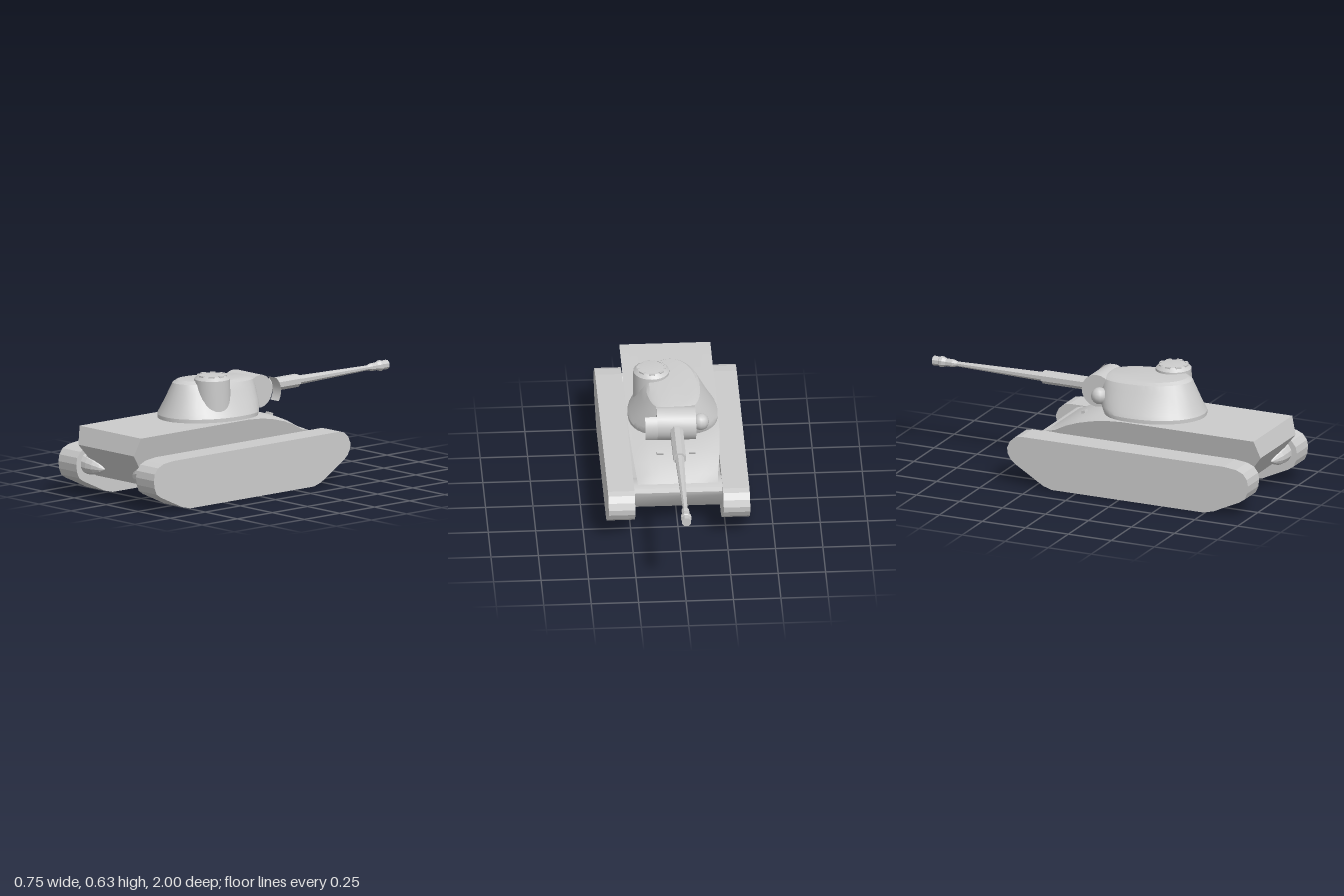
import * as THREE from 'three';
import { toCreasedNormals } from 'three/addons/utils/BufferGeometryUtils.js';

const flat = new THREE.MeshStandardMaterial({ color: 0xcccccc, flatShading: true });
const smooth = new THREE.MeshStandardMaterial({ color: 0xcccccc });
const thin = new THREE.MeshStandardMaterial({ color: 0xcccccc, side: THREE.DoubleSide });

function add(parent, name, geometry, material = flat, x = 0, y = 0, z = 0) {
  const mesh = new THREE.Mesh(geometry, material);
  mesh.name = name;
  mesh.position.set(x, y, z);
  parent.add(mesh);
  return mesh;
}

// Side outline of [z, y] points, extruded across x
function sideExtrude(outline, x0, x1, steps = 1) {
  const shape = new THREE.Shape(outline.map(([z, y]) => new THREE.Vector2(-z, y)));
  const geometry = new THREE.ExtrudeGeometry(shape, { depth: x1 - x0, steps, bevelEnabled: false });
  return geometry.rotateY(Math.PI / 2).translate(x0, 0, 0);
}

// Moves every vertex by a rule
function reshape(geometry, rule) {
  const p = geometry.attributes.position;
  const v = new THREE.Vector3();
  for (let i = 0; i < p.count; i++) {
    rule(v.fromBufferAttribute(p, i));
    p.setXYZ(i, v.x, v.y, v.z);
  }
  geometry.computeVertexNormals();
  return geometry;
}

// Egg-shaped rings stacked upward: [y, half width, front z, back z, roof tilt]
function turretGeometry() {
  const rings = [
    [0.388, 0.2, 0.08, 0.54, 0],
    [0.39, 0.237, 0.03, 0.57, 0],
    [0.41, 0.237, 0.02, 0.57, 0],
    [0.43, 0.226, 0.01, 0.56, 0],
    [0.47, 0.2, 0, 0.543, 0],
    [0.53, 0.167, 0, 0.515, 0.3],
    [0.57, 0.143, 0, 0.495, 0.7],
    [0.582, 0.125, 0.01, 0.47, 1],
    [0.587, 0.09, 0.04, 0.42, 1],
    [0.59, 0, 0.25, 0.25, 1],
  ];
  const n = 36, zc = 0.25, pos = [], idx = [];
  rings.forEach(([y, w, zf, zb, tilt], i) => {
    for (let j = 0; j < n; j++) {
      const t = (j / n) * Math.PI * 2, s = Math.sin(t), c = Math.cos(t);
      const e = c < 0 ? 0.78 : 1;
      const x = w * Math.sign(s) * Math.abs(s) ** e;
      const z = c < 0 ? zc - (zc - zf) * Math.abs(c) ** e : zc + (zb - zc) * c;
      pos.push(x, y + tilt * (0.06 * (z - zc) + 0.03 * x), z);
      if (i < rings.length - 1) {
        const a = i * n + j, b = i * n + ((j + 1) % n);
        idx.push(a, b, a + n, b, b + n, a + n);
      }
    }
  });
  const g = new THREE.BufferGeometry();
  g.setAttribute('position', new THREE.Float32BufferAttribute(pos, 3));
  g.setIndex(idx);
  return toCreasedNormals(g, 0.45);
}

// Turned part pointing along -z, from [radius, distance] points
function turned(profile, sides) {
  const points = profile.map(([r, d]) => new THREE.Vector2(r, d));
  return new THREE.LatheGeometry(points, sides, Math.PI / sides).rotateX(-Math.PI / 2);
}

export function createModel() {
  const model = new THREE.Group();
  model.name = 'tank';

  // Tracks
  const track = [
    [0.74, 0], [0.8, 0.015], [0.95, 0.085], [0.98, 0.105], [0.995, 0.14], [1, 0.18], [0.993, 0.215],
    [0.97, 0.245], [0.93, 0.262], [0.86, 0.27], [-0.32, 0.27], [-0.355, 0.262], [-0.385, 0.235],
    [-0.4, 0.2], [-0.398, 0.17], [-0.38, 0.137], [-0.35, 0.112], [-0.19, 0.015], [-0.14, 0],
  ];
  add(model, 'leftTrack', sideExtrude(track, 0.233, 0.373));
  add(model, 'rightTrack', sideExtrude(track, -0.373, -0.233));

  // Lower hull between the tracks, with the rounded nose
  const lower = [
    [0.86, 0.105], [0.947, 0.22], [-0.1, 0.22], [-0.18, 0.262], [-0.25, 0.265],
    [-0.28, 0.256], [-0.29, 0.235], [-0.285, 0.21], [-0.21, 0.105],
  ];
  add(model, 'lowerHull', toCreasedNormals(sideExtrude(lower, -0.233, 0.233), 0.6), smooth);

  // Upper hull: sides lean outward, glacis arched across its width
  const upper = [
    [0.947, 0.22], [1, 0.29], [0.97, 0.385], [0.2, 0.385], [0.1, 0.384], [0.02, 0.379],
    [-0.06, 0.362], [-0.13, 0.335], [-0.2, 0.298], [-0.25, 0.265], [-0.25, 0.22],
  ];
  const upperHull = reshape(sideExtrude(upper, -1, 1, 10), (v) => {
    const u = v.x;
    if (v.z < 0.15 && v.y > 0.29) v.y -= 0.022 * Math.min(1, (0.15 - v.z) * 6) * u ** 4;
    v.x = u * (0.2 + 0.04 * (v.y - 0.22) / 0.165);
  });
  add(model, 'upperHull', toCreasedNormals(upperHull, 0.5), smooth);

  // Final drive cones at the rear and small periscopes on the glacis
  const drive = [[0.06, 0], [0.056, 0.03], [0.045, 0.065], [0.025, 0.1], [0, 0.125]];
  for (const side of [1, -1]) {
    const prefix = side > 0 ? 'left' : 'right';
    const geo = turned(drive, 12).rotateY(side * Math.PI / 2);
    reshape(geo, (v) => { v.y -= 0.02 * Math.abs(v.x) / 0.125; });
    add(model, prefix + 'FinalDrive', geo, flat, side * 0.233, 0.18, 0.91);
    const scope = add(model, prefix + 'Periscope', new THREE.BoxGeometry(0.035, 0.014, 0.022),
      flat, side * 0.085, 0.358, -0.085);
    scope.rotation.x = -0.35;
  }

  // Turret
  const turret = new THREE.Group();
  turret.name = 'turret';
  model.add(turret);
  add(turret, 'turretRing', new THREE.CylinderGeometry(0.2, 0.2, 0.012, 32), flat, 0, 0.386, 0.27);
  add(turret, 'turretShell', turretGeometry(), smooth);
  add(turret, 'cheekBall', new THREE.SphereGeometry(0.045, 12, 8), smooth, -0.135, 0.475, 0.025);

  // Commander's cupola with a ring of vision blocks
  const cupola = new THREE.Group();
  cupola.name = 'cupola';
  cupola.position.set(0.107, 0, 0.343);
  turret.add(cupola);
  const drum = [[0.098, 0.4], [0.095, 0.605], [0.074, 0.624], [0.05, 0.627], [0, 0.627]];
  const drumGeo = new THREE.LatheGeometry(drum.map(([r, y]) => new THREE.Vector2(r, y)), 24);
  add(cupola, 'cupolaDrum', toCreasedNormals(drumGeo, 0.4), smooth);
  for (let i = 0; i < 8; i++) {
    const a = (i / 8) * Math.PI * 2;
    const block = add(cupola, 'visionBlock', new THREE.BoxGeometry(0.03, 0.011, 0.014),
      flat, 0.071 * Math.sin(a), 0.622, 0.071 * Math.cos(a));
    block.rotation.y = a;
  }

  // Mantlet: drum across the turret face plus a thin curved guard on its left
  const mantlet = new THREE.CylinderGeometry(0.088, 0.088, 0.206, 24).rotateZ(Math.PI / 2);
  add(turret, 'mantlet', toCreasedNormals(mantlet, 0.5), smooth, -0.003, 0.489, -0.004);
  const guard = new THREE.CylinderGeometry(0.092, 0.092, 0.065, 12, 1, true, Math.PI * 0.7, Math.PI * 0.5);
  add(turret, 'mantletGuard', guard.rotateZ(Math.PI / 2), thin, 0.13, 0.489, -0.006);

  // Gun: sleeve, tapering barrel and muzzle brake
  const gun = new THREE.Group();
  gun.name = 'gun';
  gun.position.set(-0.003, 0.486, 0);
  turret.add(gun);
  add(gun, 'gunSleeve', turned([[0.036, 0.05], [0.036, 0.36], [0, 0.36]], 8));
  add(gun, 'gunBarrel', turned([[0.025, 0.35], [0.013, 0.88]], 8));
  add(gun, 'muzzleBrake', turned([
    [0.013, 0.86], [0.021, 0.885], [0.021, 0.925], [0.029, 0.945], [0.029, 0.96],
    [0.024, 0.965], [0.026, 1], [0, 1],
  ], 8));

  return model;
}
